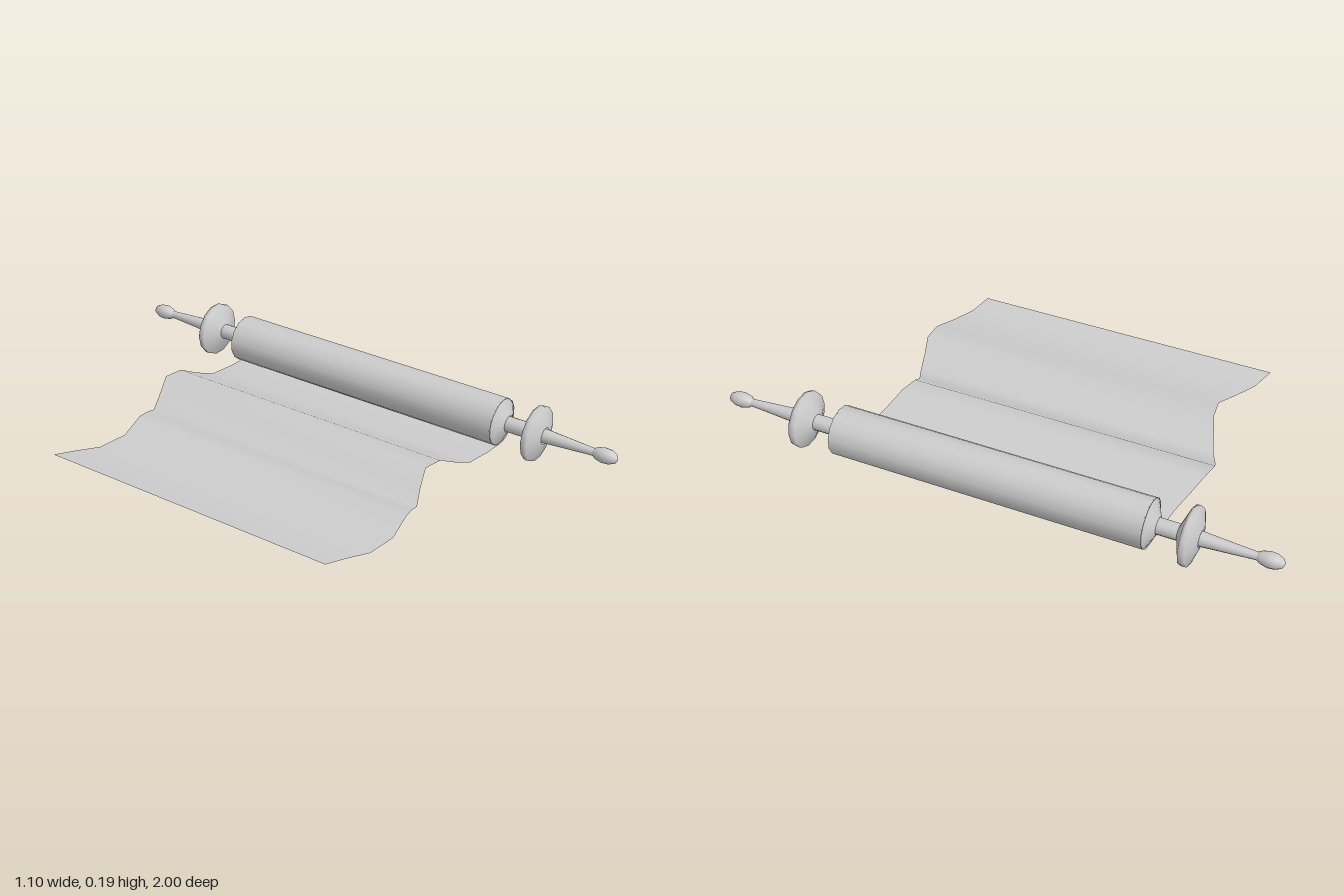
import * as THREE from 'three';

const AXIS_X = 0.445, AXIS_Y = 0.1, ROLL_R = 0.086, SIDES = 14;

function material() {
  return new THREE.MeshStandardMaterial({ color: 0xcccccc, side: THREE.DoubleSide });
}

// Lathe around the z axis from [radius, z] pairs, z increasing
function turned(name, profile) {
  const points = profile.map(([r, z]) => new THREE.Vector2(r, z));
  const geometry = new THREE.LatheGeometry(points, SIDES, Math.PI / 2);
  geometry.rotateX(Math.PI / 2);
  const mesh = new THREE.Mesh(geometry, material());
  mesh.name = name;
  return mesh;
}

// One end of the spindle: neck, disc, tapered handle and knob
function rodEnd(name) {
  const end = new THREE.Group();
  end.name = name;
  end.add(
    turned('rollEnd', [[ROLL_R - 0.001, 0.557], [0.03, 0.585]]),
    turned('neck', [[0.028, 0.5], [0.028, 0.66]]),
    turned('disc', [[0.028, 0.655], [0.05, 0.664], [0.098, 0.684], [0.1, 0.694],
      [0.098, 0.706], [0.05, 0.722], [0.03, 0.727]]),
    turned('handle', [[0.026, 0.72], [0.023, 0.76], [0.014, 0.9], [0.014, 0.92]]),
    turned('knob', [[0.012, 0.908], [0.021, 0.922], [0.027, 0.948], [0.025, 0.972],
      [0.016, 0.992], [0, 1]]),
  );
  return end;
}

// Paper cross-sections: x, y, back edge z, front edge z
const SHEET = [
  [-0.55, 0.036, -0.622, 0.51], [-0.47, 0.023, -0.595, 0.533],
  [-0.395, 0.018, -0.55, 0.572], [-0.305, 0.036, -0.515, 0.598],
  [-0.205, 0.058, -0.533, 0.582], [-0.135, 0.036, -0.56, 0.558],
  [-0.07, 0.01, -0.583, 0.54], [0, 0.028, -0.615, 0.507],
  [0.065, 0.073, -0.635, 0.487], [0.135, 0.073, -0.623, 0.5],
  [0.2, 0.042, -0.598, 0.522], [0.265, 0.018, -0.575, 0.543],
  [0.36, 0.015, -0.565, 0.555],
];

function paper() {
  const rows = SHEET.slice();
  // Carry the sheet on around the roll
  for (let i = 0; i <= SIDES; i++) {
    const a = -Math.PI / 2 + (i / SIDES) * Math.PI * 2;
    rows.push([AXIS_X + ROLL_R * Math.cos(a), AXIS_Y + ROLL_R * Math.sin(a), -0.56, 0.56]);
  }
  const positions = [], index = [];
  rows.forEach(([x, y, back, front], i) => {
    positions.push(x, y, back, x, y, front);
    if (i === 0) return;
    const b = i * 2, a = b - 2;
    index.push(a, a + 1, b, b, a + 1, b + 1);
  });
  const geometry = new THREE.BufferGeometry();
  geometry.setAttribute('position', new THREE.Float32BufferAttribute(positions, 3));
  // Outside of the roll is the underside of the sheet
  index.reverse();
  geometry.setIndex(index);
  geometry.computeVertexNormals();
  const mesh = new THREE.Mesh(geometry, material());
  mesh.name = 'paper';
  return mesh;
}

export function createModel() {
  const model = new THREE.Group();
  model.name = 'scroll';
  const rod = new THREE.Group();
  rod.name = 'rod';
  rod.position.set(AXIS_X, AXIS_Y, 0);
  const backEnd = rodEnd('backEnd');
  backEnd.rotation.y = Math.PI;
  rod.add(rodEnd('frontEnd'), backEnd);
  model.add(rod, paper());
  return model;
}
